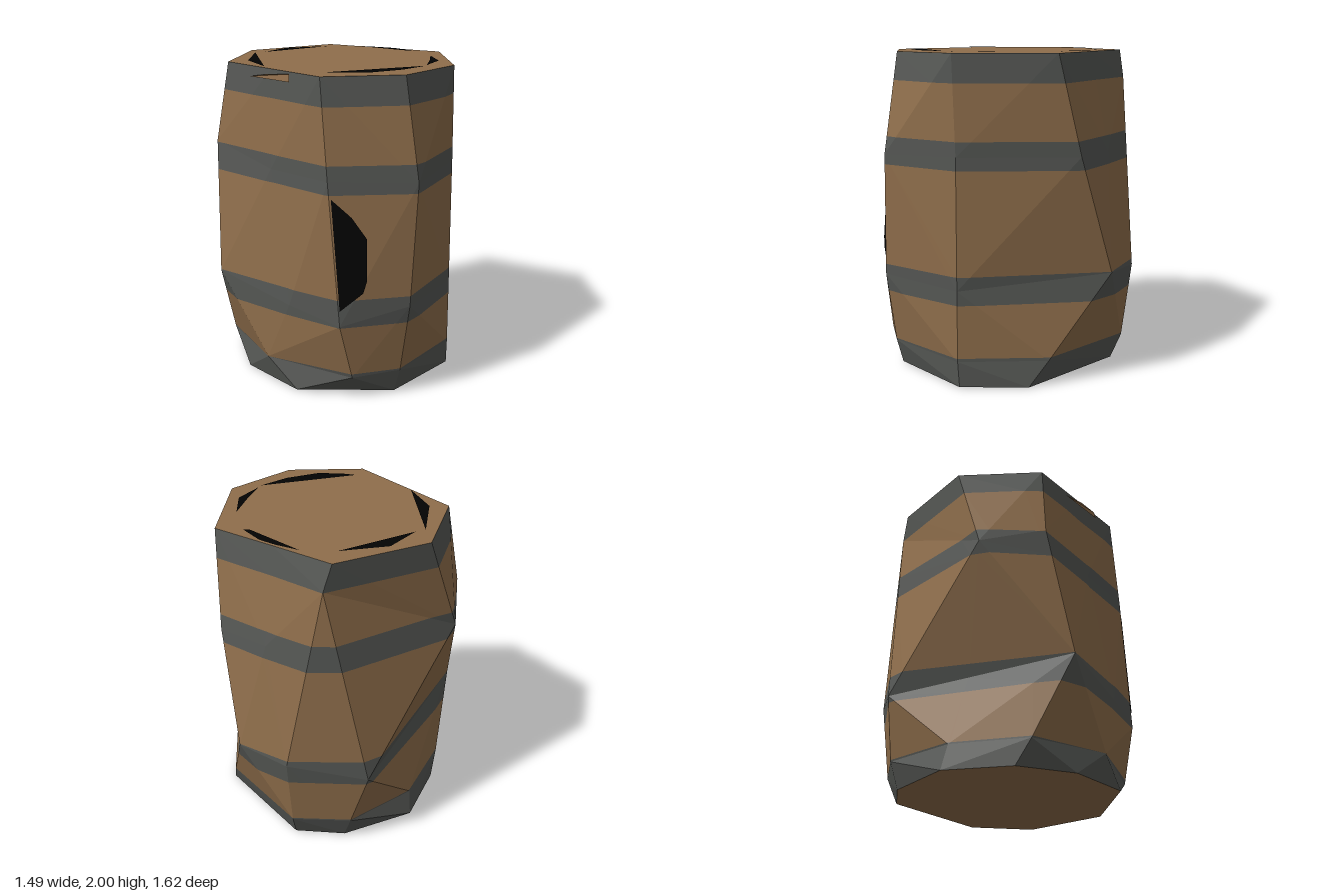
import * as THREE from 'three';

const material = (name, color, extra = {}) => {
  const m = new THREE.MeshStandardMaterial({ color, flatShading: true, ...extra });
  m.name = name;
  return m;
};

// Barrel cross-sections from bottom to top, going front -> left (+x) -> back -> right
const SECTIONS = [
  [[-0.26, 0.01, 0.63], [0.35, 0.01, 0.66], [0.74, 0, 0.27], [0.74, 0, -0.15], [0.25, 0.01, -0.69],
    [-0.07, 0.01, -0.7], [-0.5, 0.01, -0.48], [-0.65, 0.01, -0.08], [-0.57, 0.01, 0.29]],
  [[0.08, 0.155, 0.76], [0.38, 0.17, 0.695], [0.74, 0.16, 0.28], [0.71, 0.16, -0.27], [0.26, 0.17, -0.755],
    [-0.11, 0.17, -0.75], [-0.49, 0.17, -0.44], [-0.68, 0.17, 0.01], [-0.44, 0.18, 0.5]],
  [[0, 0.52, 0.81], [0.425, 0.62, 0.745], [0.735, 0.6, 0.28], [0.59, 0.68, -0.65], [0.28, 0.65, -0.81],
    [-0.22, 0.55, -0.79], [-0.45, 0.607, -0.325], [-0.74, 0.68, 0.26], [-0.3, 0.58, 0.61]],
  [[-0.07, 1.4, 0.75], [0.46, 1.38, 0.73], [0.725, 1.4, 0.28], [0.69, 1.4, -0.45], [0.4, 1.4, -0.63],
    [0.05, 1.83, -0.75], [-0.72, 1.4, -0.31], [-0.745, 1.5, 0.1], [-0.4, 1.4, 0.445]],
  [[-0.11, 1.995, 0.7], [0.38, 1.995, 0.65], [0.71, 1.995, 0.3], [0.71, 1.995, -0.31], [0.35, 1.995, -0.52],
    [0, 1.995, -0.73], [-0.54, 1.995, -0.43], [-0.66, 1.995, 0.1], [-0.385, 1.995, 0.4]],
];

// Heights where staves and hoops meet; odd slots are wood
const BANDS = [-1, 0.18, 0.51, 0.685, 1.32, 1.49, 1.825, 3];

// Keep the part of a polygon above (sign 1) or below (sign -1) a height
function clip(poly, height, sign) {
  const out = [];
  poly.forEach((p, i) => {
    const q = poly[(i + 1) % poly.length];
    const dp = (p[1] - height) * sign, dq = (q[1] - height) * sign;
    if (dp >= 0) out.push(p);
    if (dp * dq < 0) out.push(p.map((v, k) => v + (q[k] - v) * dp / (dp - dq)));
  });
  return out;
}

// Split a quad along the diagonal that folds outward
function splitQuad(a, b, c, d) {
  const [A, B, C, D] = [a, b, c, d].map((p) => new THREE.Vector3(...p));
  const normal = B.sub(A).cross(C.sub(A));
  return normal.dot(D.sub(A)) <= 0 ? [[a, b, c], [a, c, d]] : [[a, b, d], [b, c, d]];
}

// Fan-triangulated mesh from a list of polygons
function polyMesh(name, polys, mat) {
  const pos = [];
  for (const p of polys)
    for (let i = 1; i < p.length - 1; i++) pos.push(...p[0], ...p[i], ...p[i + 1]);
  const geo = new THREE.BufferGeometry();
  geo.setAttribute('position', new THREE.Float32BufferAttribute(pos, 3));
  geo.computeVertexNormals();
  const mesh = new THREE.Mesh(geo, mat);
  mesh.name = name;
  return mesh;
}

export function createModel() {
  const group = new THREE.Group();
  group.name = 'barrel';
  const wood = material('wood', 0x8f6e4b);
  const iron = material('iron', 0x555754);
  const dark = material('dark gap', 0x030303, { side: THREE.DoubleSide });

  // Faceted side wall
  const faces = [];
  for (let r = 0; r < SECTIONS.length - 1; r++) {
    const low = SECTIONS[r], high = SECTIONS[r + 1];
    for (let i = 0; i < low.length; i++) {
      const j = (i + 1) % low.length;
      faces.push(...splitQuad(low[i], low[j], high[j], high[i]));
    }
  }

  // Cut the wall into hoops and staves
  for (let k = 0; k < BANDS.length - 1; k++) {
    const slice = faces
      .map((f) => clip(clip(f, BANDS[k], 1), BANDS[k + 1], -1))
      .filter((f) => f.length > 2);
    const isWood = k % 2 === 1;
    group.add(polyMesh(isWood ? 'staves' : 'hoop', slice, isWood ? wood : iron));
  }

  // Lid and base
  group.add(polyMesh('lid', [SECTIONS[4]], wood));
  group.add(polyMesh('base', [[...SECTIONS[0]].reverse()], wood));

  // Dark gaps around the lid, as [x, z] outlines
  const gaps = [
    [[-0.45, -0.3], [-0.31, -0.5], [-0.02, -0.58]],
    [[0.19, -0.58], [0.33, -0.52], [0.43, -0.46], [0.54, -0.33], [0.5, -0.33]],
    [[0.62, -0.08], [0.64, 0.14], [0.54, 0.32], [0.585, 0.13]],
    [[0.53, 0.35], [0.38, 0.49], [0.18, 0.59], [0.02, 0.59], [-0.07, 0.57]],
    [[-0.51, -0.27], [-0.54, 0.08], [-0.43, 0.33]],
  ];
  for (const g of gaps)
    group.add(polyMesh('lidGap', [g.map(([x, z]) => [x, 2, z]).reverse()], dark));

  // Dark gap in the front staves
  group.add(polyMesh('frontGap', [[
    [0, 0.62, 0.81], [0.14, 0.73, 0.797], [0.16, 0.8, 0.793],
    [0.16, 1.06, 0.773], [0.07, 1.19, 0.768], [-0.05, 1.3, 0.763],
  ]], dark));

  // Splinter by the upper hoop
  group.add(polyMesh('splinter', [[
    [-0.52, 1.935, 0.29], [-0.28, 1.94, 0.55], [-0.28, 1.985, 0.54], [-0.4, 1.97, 0.425],
  ]], wood));

  return group;
}
